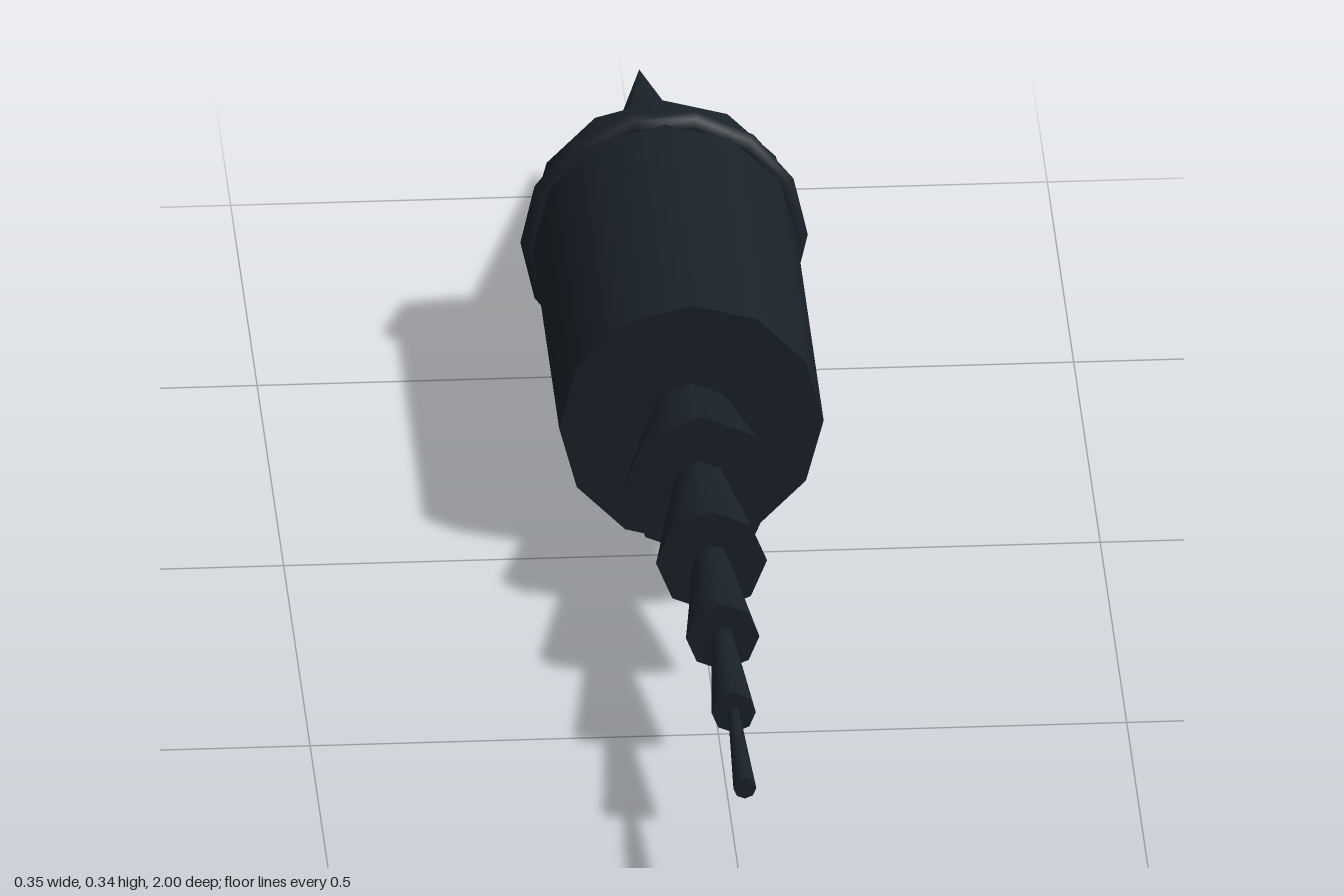
import * as THREE from 'three';

const AXIS_Y = 0.172;

export function createModel() {
  const group = new THREE.Group();
  const material = new THREE.MeshStandardMaterial({ color: 0x1a222a });

  const add = (name, geometry) => {
    const mesh = new THREE.Mesh(geometry, material);
    mesh.name = name;
    mesh.position.y = AXIS_Y;
    group.add(mesh);
  };

  // Frustum lying along z, from its back end to its front end
  const frustum = (name, zBack, zFront, rBack, rFront, sides) => {
    const geometry = new THREE.CylinderGeometry(rFront, rBack, zFront - zBack, sides);
    geometry.rotateX(Math.PI / 2);
    geometry.translate(0, 0, (zBack + zFront) / 2);
    add(name, geometry);
  };

  // Main barrel
  frustum('body', -0.58, -0.01, 0.162, 0.162, 12);

  // Raised band near the back of the barrel
  const band = new THREE.TorusGeometry(0.16, 0.016, 8, 14);
  band.translate(0, 0, -0.526);
  add('collarRing', band);

  // Pointed tail
  const tail = new THREE.ConeGeometry(0.094, 0.415, 10);
  tail.rotateX(-Math.PI / 2);
  tail.translate(0, 0, -0.7875);
  add('rearSpike', tail);

  // Stacked flared segments shrinking towards the front
  const step = 0.2095;
  [0.095, 0.068, 0.045, 0.027, 0.014].forEach((radius, i) => {
    const zFront = 0.162 + i * step;
    frustum(`noseSegment${i + 1}`, zFront - step, zFront, radius * 0.5, radius, 8);
  });

  return group;
}
